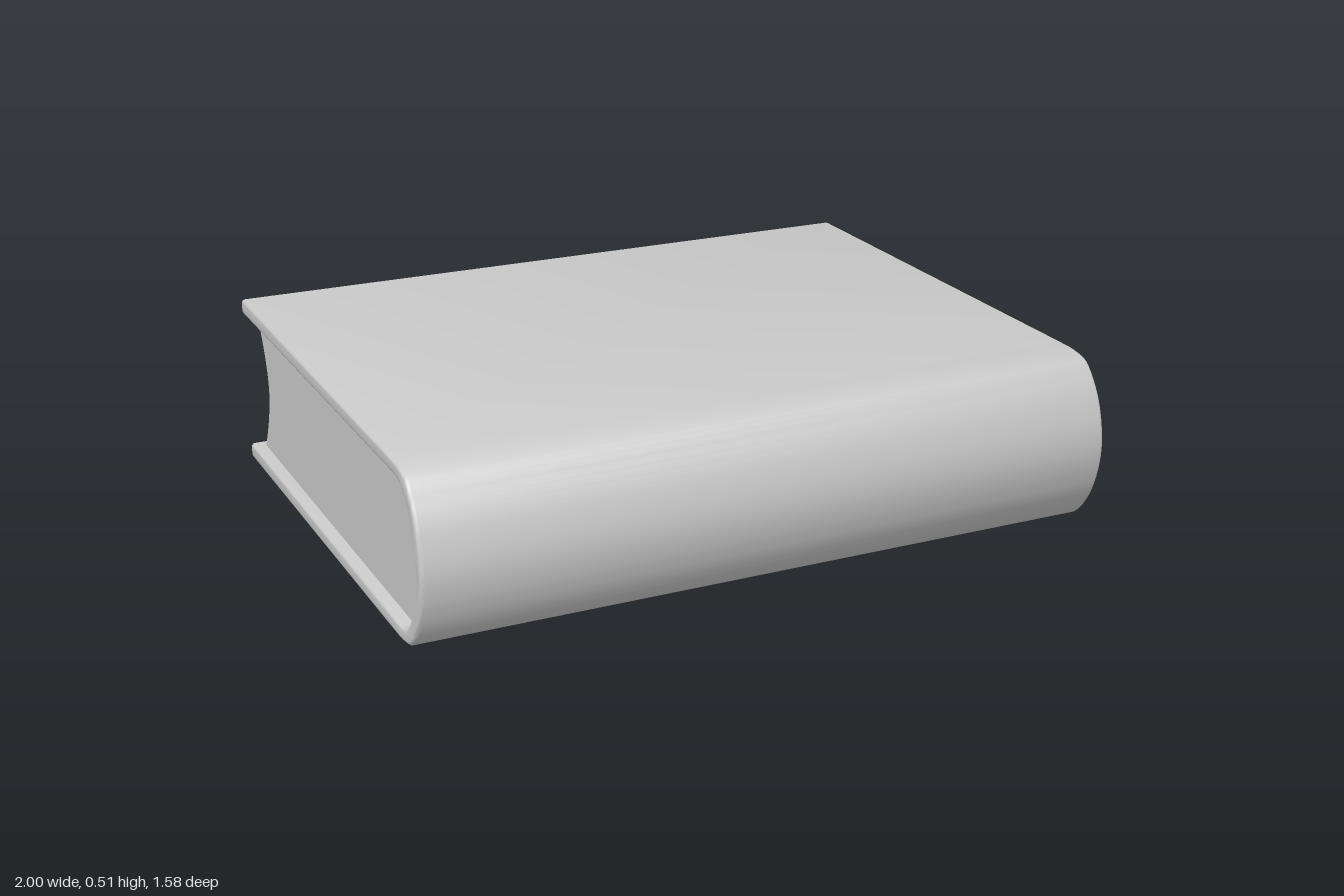
import * as THREE from 'three';
import { toCreasedNormals } from 'three/addons/utils/BufferGeometryUtils.js';

const MID = 0.253; // height of the plane of symmetry

// Half of each spine curve as [z, height above the middle]
const OUTER_SPINE = [[0.56, 0.245], [0.64, 0.241], [0.70, 0.218], [0.762, 0.125], [0.788, 0]];
const INNER_SPINE = [[0.56, 0.204], [0.63, 0.202], [0.675, 0.18], [0.727, 0.1], [0.75, 0]];
const FORE_EDGE = [[-0.738, 0.205], [-0.685, 0.1], [-0.662, 0]];

// Complete a half curve below the middle; the shape's x axis becomes -z
const mirrored = (half) => [...half, ...half.slice(0, -1).reverse().map(([z, h]) => [z, -h])]
  .map(([z, h]) => new THREE.Vector2(-z, h));

// Smooth points through a mirrored half curve, running top to bottom
const curve = (half, n) => new THREE.SplineCurve(mirrored(half)).getPoints(n);

// Rounded back edge of one board, running from its outer to its inner face
function boardEdge(sign) {
  const end = 0.788, top = 0.253, low = 0.207, r = 0.015, pts = [];
  for (const [y, from] of [[top - r, Math.PI / 2], [low + r, 0]]) {
    for (let i = 0; i <= 4; i++) {
      const a = from - (i / 4) * Math.PI / 2;
      pts.push(new THREE.Vector2(end - r + r * Math.cos(a), sign * (y + r * Math.sin(a))));
    }
  }
  return pts;
}

// Extrude a side profile along x, centred
function extrudeAcross(points, width, bevel) {
  const geo = new THREE.ExtrudeGeometry(new THREE.Shape(points), {
    depth: width - 2 * bevel,
    bevelEnabled: bevel > 0,
    bevelSize: bevel,
    bevelThickness: bevel,
    bevelOffset: -bevel,
    bevelSegments: 3,
  });
  geo.translate(0, 0, bevel - width / 2);
  geo.rotateY(Math.PI / 2);
  geo.translate(0, MID, 0);
  return toCreasedNormals(geo, 0.55);
}

export function createModel() {
  const book = new THREE.Group();
  book.name = 'book';
  const material = new THREE.MeshStandardMaterial({ color: 0xcccccc });
  const add = (name, geometry) => {
    const mesh = new THREE.Mesh(geometry, material);
    mesh.name = name;
    book.add(mesh);
  };

  // Cover: two boards joined by the rounded spine
  const cover = [
    ...curve(OUTER_SPINE, 40),
    ...boardEdge(-1),
    ...curve(INNER_SPINE, 40).reverse(),
    ...boardEdge(1).reverse(),
  ];
  add('cover', extrudeAcross(cover, 2, 0.01));

  // Page block: follows the spine, hollow at the fore edge, set in at both ends
  const pages = [...curve(INNER_SPINE, 40), ...curve(FORE_EDGE, 24).reverse()];
  add('pages', extrudeAcross(pages, 1.93, 0));

  return book;
}
